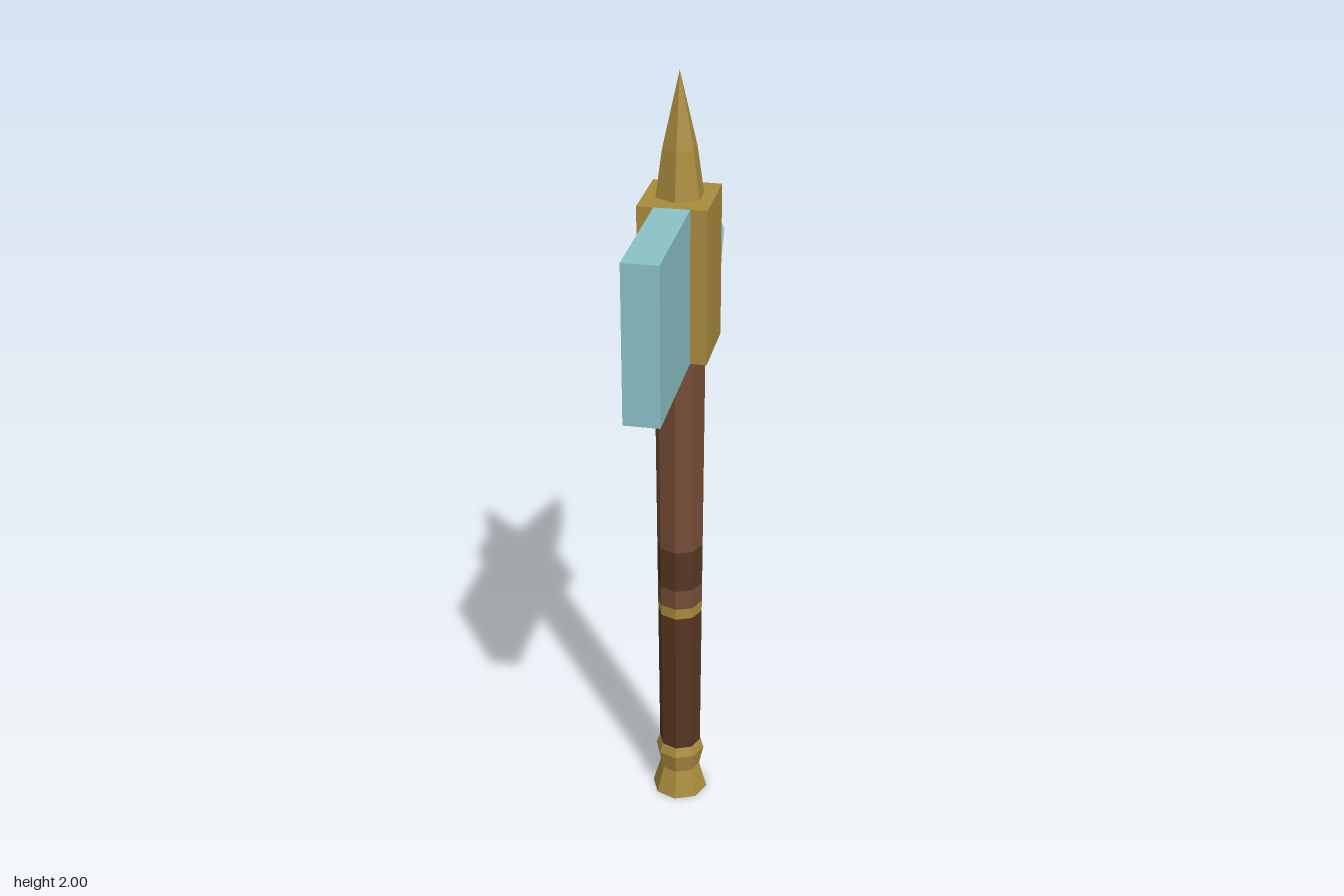
import * as THREE from 'three';

const paint = (name, color) => {
  const m = new THREE.MeshStandardMaterial({ color, flatShading: true });
  m.name = name;
  return m;
};

export function createModel() {
  const gold = paint('gold', 0xa98b3e);
  const wood = paint('wood', 0x754d38);
  const leather = paint('darkLeather', 0x573722);
  const steel = paint('paleBlueSteel', 0x8cc2c8);

  const model = new THREE.Group();
  model.name = 'warHammer';
  const shaftZ = 0.015;

  const add = (name, geometry, material, x, y, z) => {
    const mesh = new THREE.Mesh(geometry, material);
    mesh.name = name;
    mesh.position.set(x, y, z);
    model.add(mesh);
    return mesh;
  };

  // Faceted turned part from [radius, height] pairs, bottom to top
  const turned = (name, profile, sides, material, y = 0, z = shaftZ) =>
    add(name, new THREE.LatheGeometry(profile.map(([r, h]) => new THREE.Vector2(r, h)), sides), material, 0, y, z);

  // Shaft sections share one gentle taper
  const radius = (y) => 0.055 + 0.008 * (y - 0.155) / 1.165;
  const section = (name, y0, y1, material) =>
    turned(name, [[radius(y0), y0], [radius(y1), y1]], 8, material);
  section('grip', 0.155, 0.57, leather);
  section('gripBand', 0.57, 0.6, gold);
  section('lowerShaft', 0.6, 0.655, wood);
  section('shaftWrap', 0.655, 0.77, leather);
  section('upperShaft', 0.77, 1.32, wood);

  // Flared pommel
  turned('pommel', [[0, 0], [0.074, 0], [0.053, 0.075], [0.065, 0.13], [0.056, 0.155], [0, 0.155]], 8, gold);

  // Head block and flat blade
  add('headBlock', new THREE.BoxGeometry(0.166, 0.385, 0.19), gold, 0, 1.5125, 0.015);
  add('blade', new THREE.BoxGeometry(0.086, 0.385, 0.345), steel, 0, 1.5125, 0.2825);

  // Six-sided top spike
  turned('topSpike', [[0.06, 1.705], [0.043, 1.82], [0, 2]], 6, gold);

  // Four-sided spike pointing backwards
  const backSpike = turned('backSpike', [[0.083, 0], [0.055, 0.205], [0, 0.375]], 4, steel, 1.513, -0.08);
  backSpike.rotation.x = -Math.PI / 2;

  return model;
}
